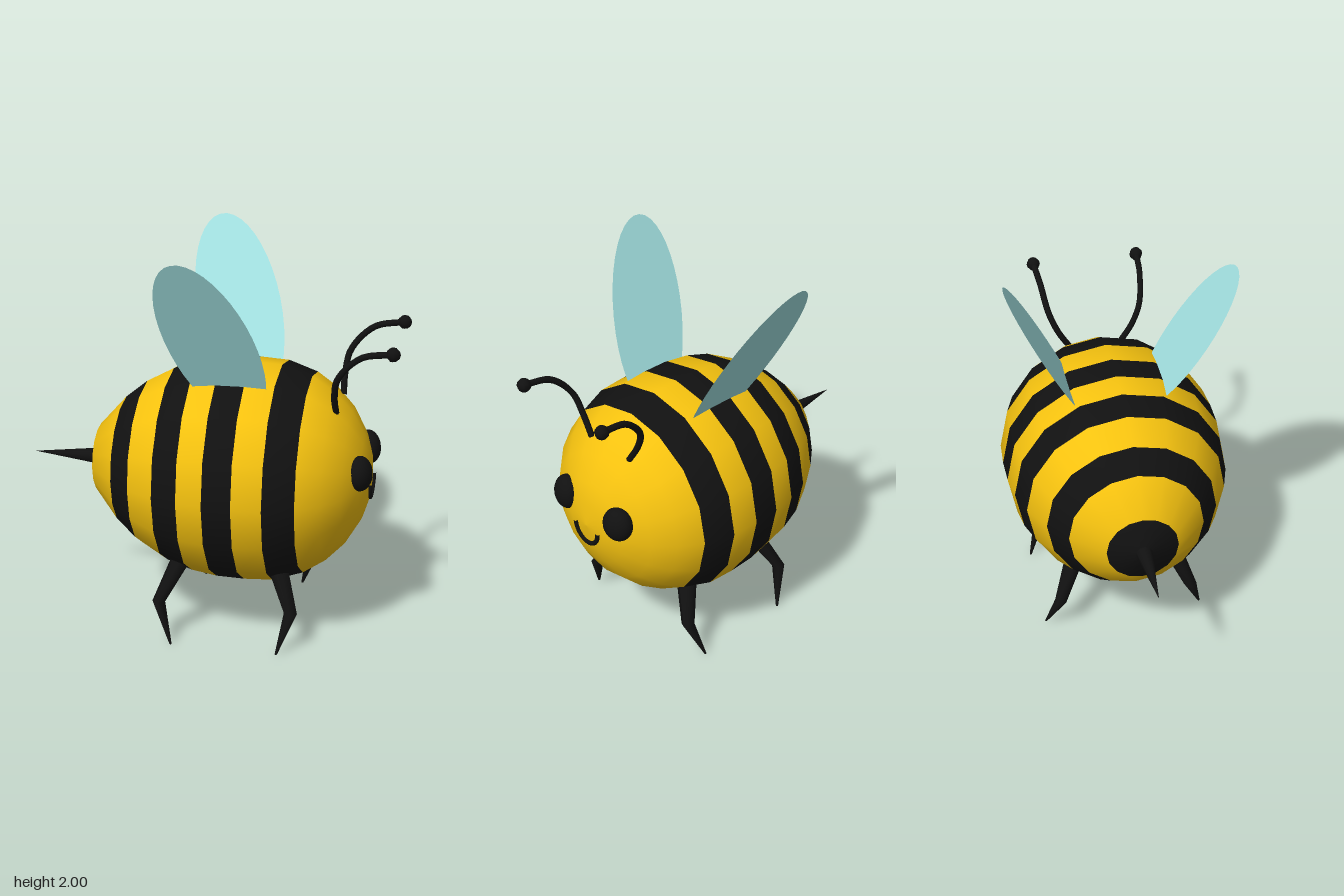
import * as THREE from 'three';

const yellow = new THREE.MeshStandardMaterial({ color: 0xf5c20f });
const black = new THREE.MeshStandardMaterial({ color: 0x111111 });
const wingBlue = new THREE.MeshStandardMaterial({ color: 0xa6e6e6, side: THREE.DoubleSide });

const BODY_Y = 0.825;      // height of the body axis
const HEAD_Z = 0.16;       // centre of the round front half
const R = 0.565;           // greatest body radius
const V = (x, y, z) => new THREE.Vector3(x, y, z);

// z on the round face for a given x, y
const faceZ = (x, y) => HEAD_Z + Math.sqrt(R * R - x * x - (y - BODY_Y) ** 2);

function add(parent, name, geometry, material) {
  const mesh = new THREE.Mesh(geometry, material);
  mesh.name = name;
  parent.add(mesh);
  return mesh;
}

// Egg body: one lathe, its rings shared out between yellow and black bands
function addBody(bee) {
  // [z, radius, band that starts here is dark]
  const rings = [
    [-0.725, 0, 1], [-0.68, 0.177, 0], [-0.54, 0.335, 1], [-0.43, 0.425, 0],
    [-0.29, 0.502, 1], [-0.16, 0.543, 0], [-0.03, 0.562, 1], [0.113, 0.565, 0],
    [0.26, 0.557, 1], [0.41, 0.507, 0], [0.52, 0.435, 0], [0.61, 0.343, 0],
    [0.68, 0.222, 0], [0.713, 0.115, 0], [0.725, 0, 0],
  ];
  const lathe = new THREE.LatheGeometry(rings.map(([z, r]) => new THREE.Vector2(r, z)), 16);
  lathe.rotateX(Math.PI / 2);
  const bands = rings.length - 1;
  const index = Array.from(lathe.index.array);
  [[0, 'body', yellow], [1, 'stripes', black]].forEach(([dark, name, material]) => {
    const part = lathe.clone();
    part.setIndex(index.filter((_, i) => rings[Math.floor(i / 6) % bands][2] === dark));
    add(bee, name, part, material).position.y = BODY_Y;
  });
}

// Tapered leg: the rows of a cylinder are moved to hip, knee and foot
function legGeometry(hip, knee, foot) {
  const geometry = new THREE.CylinderGeometry(1, 1, 1, 8, 2);
  const p = geometry.attributes.position;
  for (let i = 0; i < p.count; i++) {
    const y = p.getY(i);
    const [centre, r] = y > 0.1 ? [hip, 0.055] : y < -0.1 ? [foot, 0.006] : [knee, 0.033];
    p.setXYZ(i, centre.x + p.getX(i) * r, centre.y, centre.z + p.getZ(i) * r);
  }
  geometry.computeVertexNormals();
  return geometry;
}

function addSide(bee, s) {
  const side = s > 0 ? 'left' : 'right';

  // Legs
  add(bee, side + 'FrontLeg', legGeometry(
    V(s * 0.24, 0.43, 0.28), V(s * 0.35, 0.2, 0.375), V(s * 0.415, 0, 0.315)), black);
  add(bee, side + 'BackLeg', legGeometry(
    V(s * 0.24, 0.43, -0.19), V(s * 0.345, 0.2, -0.3), V(s * 0.415, 0, -0.225)), black);

  // Wing: flat ellipse leaning outward and back
  const wing = new THREE.CircleGeometry(1, 40);
  wing.scale(0.215, 0.5, 1).rotateY(Math.PI / 2).rotateX(-0.285).rotateZ(-s * 0.445);
  add(bee, side + 'Wing', wing, wingBlue).position.set(s * 0.345, 1.565, -0.025);

  // Antenna with a faceted knob
  const path = new THREE.CatmullRomCurve3([
    V(s * 0.135, 1.2, 0.55), V(s * 0.195, 1.3, 0.548), V(s * 0.24, 1.41, 0.57),
    V(s * 0.264, 1.525, 0.68), V(s * 0.275, 1.555, 0.82)]);
  add(bee, side + 'Antenna', new THREE.TubeGeometry(path, 20, 0.016, 8), black);
  const knob = add(bee, side + 'AntennaKnob', new THREE.SphereGeometry(0.035, 8, 6), black);
  knob.position.set(s * 0.275, 1.555, 0.83);

  // Eye, turned to follow the face
  const eye = add(bee, side + 'Eye', new THREE.SphereGeometry(1, 20, 14), black);
  eye.scale.set(0.08, 0.088, 0.06);
  eye.position.set(s * 0.188, 0.912, faceZ(0.188, 0.912) - 0.005);
  eye.rotation.set(-0.1, s * 0.25, 0);
}

export function createModel() {
  const model = new THREE.Group();
  model.name = 'bee';
  const bee = new THREE.Group();
  bee.name = 'turnedBee';
  bee.position.set(-0.03, 0, 0.015);
  bee.rotation.y = THREE.MathUtils.degToRad(26);
  model.add(bee);

  addBody(bee);
  [1, -1].forEach((s) => addSide(bee, s));

  // Stinger
  const stinger = new THREE.ConeGeometry(0.042, 0.337, 10).rotateX(-Math.PI / 2);
  add(bee, 'stinger', stinger, black).position.set(0, BODY_Y, -0.869);

  // Smile laid on the round face
  const smile = [];
  for (let i = 0; i <= 12; i++) {
    const a = Math.PI * (i / 12);
    const x = -0.08 * Math.cos(a);
    const y = 0.815 - 0.095 * Math.sin(a);
    smile.push(V(x, y, faceZ(x, y) + 0.002));
  }
  add(bee, 'smile', new THREE.TubeGeometry(new THREE.CatmullRomCurve3(smile), 32, 0.012, 8), black);

  return model;
}
